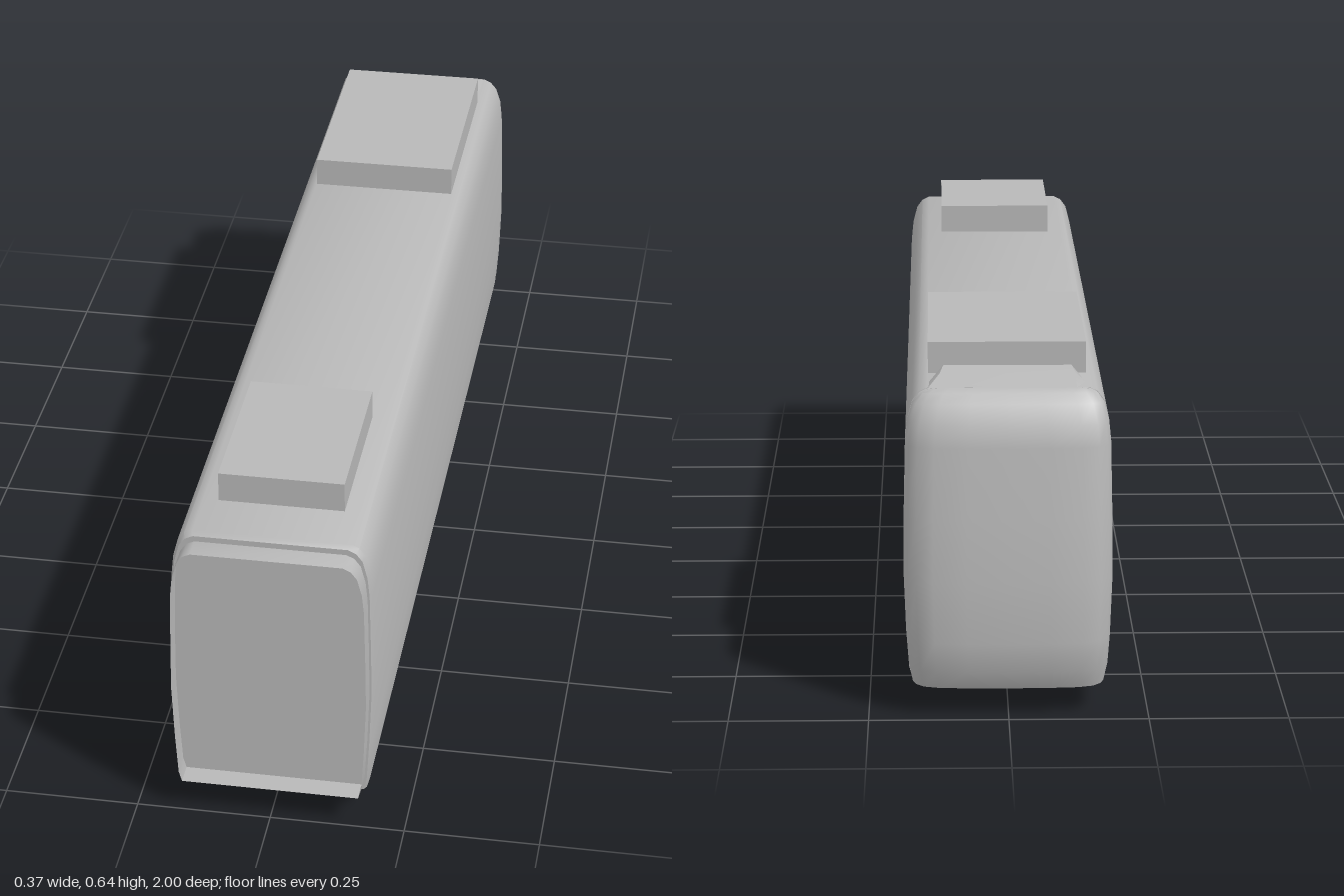
import * as THREE from 'three';
import { toCreasedNormals } from 'three/addons/utils/BufferGeometryUtils.js';

// Right half of the carriage cross-section, bottom to top
const HALF = [[0.172, 0.05], [0.178, 0.072], [0.183, 0.16], [0.187, 0.27], [0.186, 0.36],
  [0.183, 0.49], [0.179, 0.53], [0.17, 0.565], [0.158, 0.581], [0.143, 0.588]];

// Closed ring of the cross-section at z, scaled about its middle
function section(z, sx = 1, sy = 1) {
  const right = HALF.map(([x, y]) => [x * sx, 0.319 + (y - 0.319) * sy, z]);
  return [...right, ...right.slice().reverse().map(([x, y]) => [-x, y, z])];
}

// Skin over a row of matching rings, with optional end caps
function loft(rings, caps = true, crease = 0.6) {
  const n = rings[0].length, index = [];
  for (let i = 0; i < rings.length - 1; i++) {
    for (let j = 0; j < n; j++) {
      const k = (j + 1) % n, a = i * n + j, b = i * n + k;
      index.push(a, a + n, b, b, a + n, b + n);
    }
  }
  const last = (rings.length - 1) * n;
  for (let j = 1; caps && j < n - 1; j++) {
    index.push(0, j, j + 1, last, last + j + 1, last + j);
  }
  const g = new THREE.BufferGeometry();
  g.setAttribute('position', new THREE.Float32BufferAttribute(rings.flat(2), 3));
  g.setIndex(index);
  return toCreasedNormals(g, crease);
}

export function createModel() {
  const group = new THREE.Group();
  const grey = new THREE.MeshStandardMaterial({ color: 0xb8b8b8, side: THREE.DoubleSide });
  grey.name = 'plain grey';
  const add = (name, geometry, x = 0, y = 0, z = 0) => {
    const mesh = new THREE.Mesh(geometry, grey);
    mesh.name = name;
    mesh.position.set(x, y, z);
    group.add(mesh);
    return mesh;
  };

  // Long carriage body, slightly drawn in at the coupling end
  add('body', loft([section(0.958, 0.975, 0.985), section(0.945), section(-0.912)]));

  // Open collar around the recessed end panel
  add('gangwayCollar', loft([section(1, 0.955, 0.945), section(0.95, 0.955, 0.945)], false));

  // Driver's cab: plan outlines stacked from roof to floor [y, half width, nose z]
  const levels = [[0.588, 0.143, -0.914], [0.58, 0.158, -0.925], [0.563, 0.17, -0.94],
    [0.53, 0.179, -0.962], [0.49, 0.183, -0.968], [0.36, 0.186, -0.985], [0.25, 0.187, -0.997],
    [0.14, 0.183, -1], [0.085, 0.179, -0.994], [0.05, 0.172, -0.975]];
  const plan = [[1, 0], [0.995, 0.3], [0.96, 0.58], [0.88, 0.8], [0.72, 0.93], [0.4, 0.985]];
  add('cab', loft(levels.map(([y, w, nose]) => {
    const right = plan.map(([u, v]) => [u * w, y, -0.91 + (nose + 0.91) * v]);
    return [...right, [0, y, nose], ...right.slice().reverse().map(([x, , z]) => [-x, y, z])];
  }), true, 0.9));

  // Low fairing on the cab roof, tapering down to the nose
  const fairing = (z, w, h) => [[w, 0.58, z], [w, 0.586, z], [w * 0.85, h, z],
    [-w * 0.85, h, z], [-w, 0.586, z], [-w, 0.58, z]];
  add('roofFairing', loft([fairing(-0.825, 0.125, 0.597), fairing(-0.838, 0.135, 0.611),
    fairing(-0.87, 0.142, 0.604), fairing(-0.914, 0.143, 0.588)]));

  // Roof equipment boxes
  add('smallRoofUnit', new THREE.BoxGeometry(0.23, 0.063, 0.32), 0, 0.6135, 0.683);
  add('largeRoofUnit', new THREE.BoxGeometry(0.284, 0.063, 0.43), 0, 0.6135, -0.585);

  // Wheels, half hidden in the floor
  const wheel = new THREE.CylinderGeometry(0.05, 0.05, 0.017, 8).rotateZ(Math.PI / 2);
  for (const z of [-0.442, -0.765]) {
    for (const side of [1, -1]) add('wheel', wheel, side * 0.134, 0.05, z);
  }
  return group;
}
